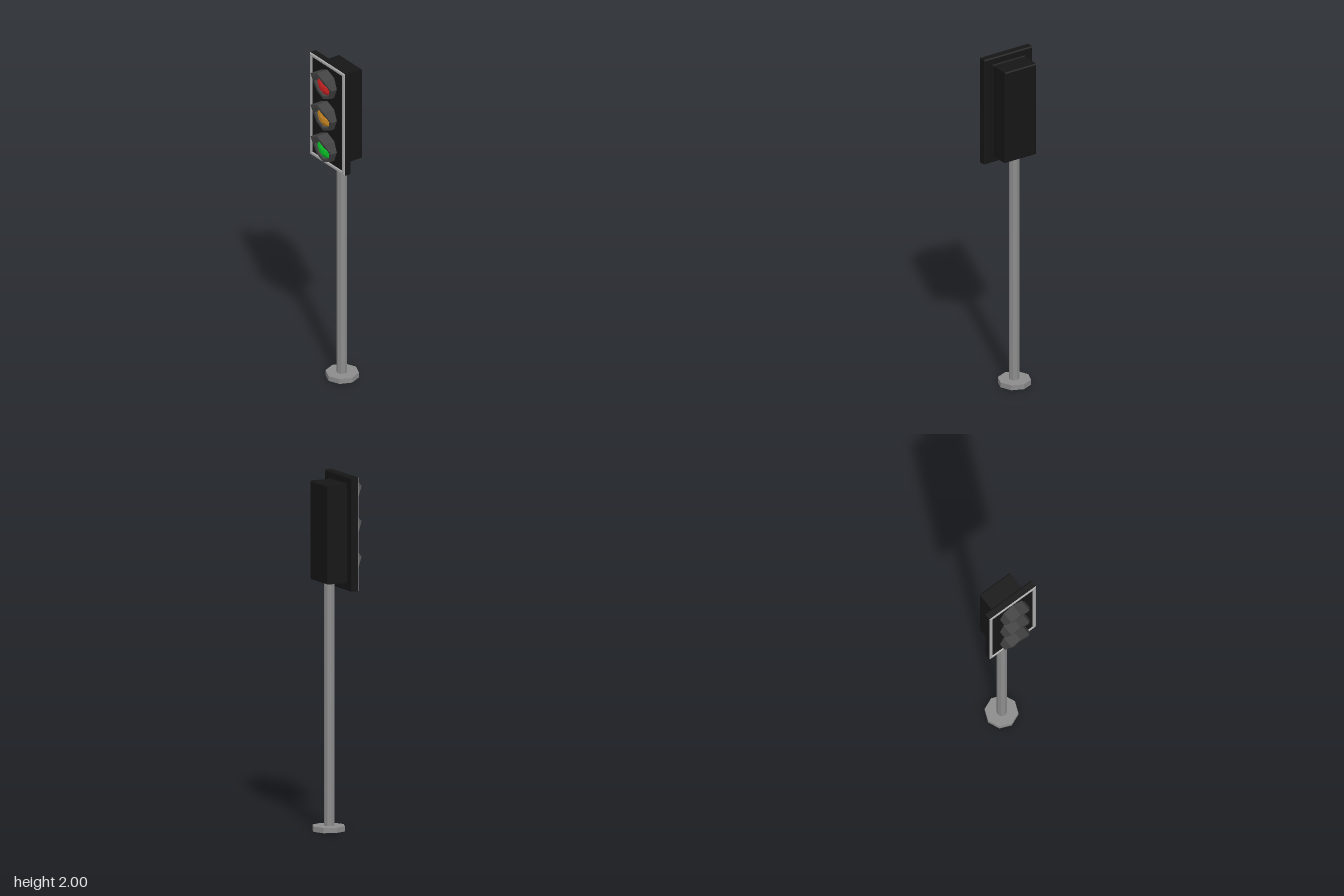
import * as THREE from 'three';

const mat = (color) => new THREE.MeshStandardMaterial({ color, flatShading: true });

// Skin a list of equal-length loops (counter-clockwise seen from +z), with optional end caps
function loft(loops, capStart, capEnd) {
  const pos = [];
  const tri = (a, b, c) => pos.push(...a, ...b, ...c);
  const n = loops[0].length;
  for (let r = 0; r + 1 < loops.length; r++) {
    for (let i = 0; i < n; i++) {
      const j = (i + 1) % n, a = loops[r], b = loops[r + 1];
      tri(a[i], a[j], b[j]);
      tri(a[i], b[j], b[i]);
    }
  }
  const last = loops[loops.length - 1];
  for (let i = 1; i + 1 < n; i++) {
    if (capStart) tri(loops[0][0], loops[0][i + 1], loops[0][i]);
    if (capEnd) tri(last[0], last[i], last[i + 1]);
  }
  const geo = new THREE.BufferGeometry();
  geo.setAttribute('position', new THREE.Float32BufferAttribute(pos, 3));
  geo.computeVertexNormals();
  return geo;
}

// Rectangular loop of half sizes w, h
const rect = (w, h, y, z) => [[w, y - h, z], [w, y + h, z], [-w, y + h, z], [-w, y - h, z]];

// Octagonal loop with a corner at the top; depth(k) gives z, k = corners away from the top
const octagon = (r, depth) => Array.from({ length: 8 }, (_, i) => {
  const a = Math.PI / 2 + (i * Math.PI) / 4;
  return [r * Math.cos(a), r * Math.sin(a), depth(Math.min(i, 8 - i))];
});

export function createModel() {
  const group = new THREE.Group();
  const add = (parent, name, geo, material) => {
    const mesh = new THREE.Mesh(geo, material);
    mesh.name = name;
    parent.add(mesh);
    return mesh;
  };
  const black = mat(0x161616), steel = mat(0x8c8c8c), trim = mat(0xaaaaaa), dark = mat(0x424242);

  // Foot and pole
  add(group, 'base', new THREE.CylinderGeometry(0.094, 0.094, 0.03, 8), steel).position.set(0, 0.015, -0.04);
  add(group, 'pole', new THREE.CylinderGeometry(0.03, 0.03, 1.39, 8), steel).position.set(0, 0.725, -0.037);

  // Rear housing, chamfered at the back and flared where it meets the plate
  const housing = [[-0.006, -0.102], [0, -0.096], [0, 0.013], [0.006, 0.02]];
  add(group, 'housing', loft(housing.map(([o, z]) => rect(0.106 + o, 0.277 + o, 1.678, z)), true, false), black);

  // Wide plate with a chamfered light trim and a recessed black panel
  const ring = ([o, z]) => rect(0.162 + o, 0.32 + o, 1.68, z);
  add(group, 'plate', loft([[-0.006, 0.018], [0, 0.024], [0, 0.061]].map(ring), true, false), black);
  add(group, 'trim', loft([[0, 0.061], [-0.006, 0.067], [-0.018, 0.067], [-0.022, 0.061]].map(ring)), trim);
  add(group, 'panel', loft([ring([-0.022, 0.061])], false, true), black);

  // Three lamps, each a visor tube cut back below and a faceted dome lens
  const cut = [0.133, 0.133, 0.1, 0.09, 0.09];
  const back = () => 0.058, front = (k) => cut[k];
  const visor = loft([octagon(0.0875, back), octagon(0.0875, front), octagon(0.07, front), octagon(0.07, back)]);
  const dome = new THREE.SphereGeometry(1, 8, 3, 0, Math.PI * 2, 0, Math.PI / 2);
  dome.rotateX(Math.PI / 2);
  dome.scale(0.07, 0.07, 0.045);
  const lamps = [['red', 1.87, 0xdc2626], ['amber', 1.672, 0xdc9428], ['green', 1.474, 0x0cd62c]];
  for (const [name, y, color] of lamps) {
    const lamp = new THREE.Group();
    lamp.name = name + 'Lamp';
    lamp.position.y = y;
    add(lamp, 'visor', visor, dark);
    add(lamp, 'lens', dome, mat(color)).position.z = 0.063;
    group.add(lamp);
  }
  return group;
}
